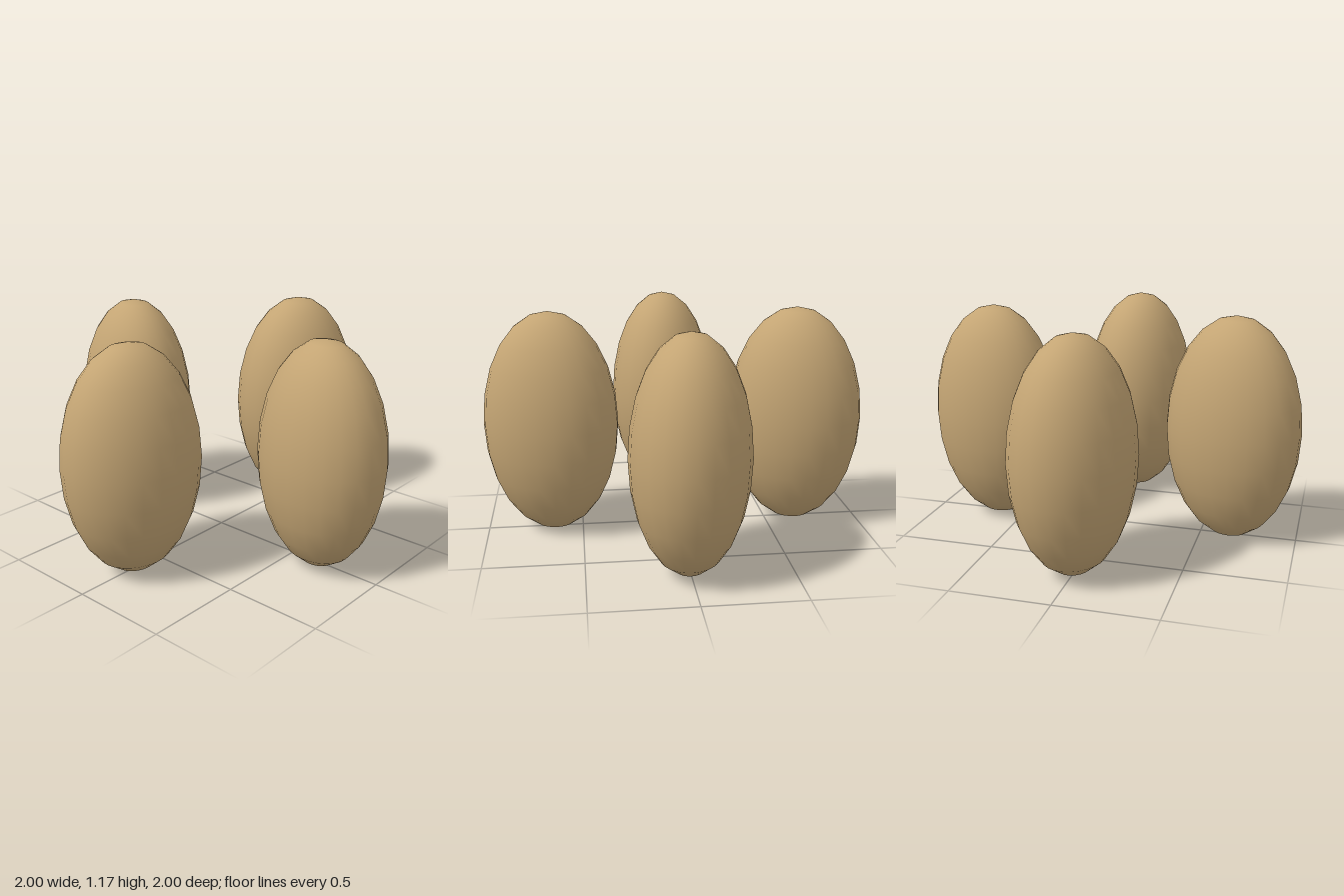
import * as THREE from 'three';

export function createModel() {
  const model = new THREE.Group();
  const tan = new THREE.MeshStandardMaterial({ color: 0xc4a574 });
  tan.name = 'tan';

  // Upright egg shape: a sphere stretched along its three axes
  const egg = new THREE.SphereGeometry(1, 24, 12).scale(0.354, 0.584, 0.29);

  // Four eggs in a ring, each twisted a little from its radial direction
  const twist = -Math.PI / 12;
  ['leftEgg', 'backEgg', 'rightEgg', 'frontEgg'].forEach((name, i) => {
    const angle = (i * Math.PI) / 2;
    const mesh = new THREE.Mesh(egg, tan);
    mesh.name = name;
    mesh.position.set(0.65 * Math.cos(angle), 0.585, -0.65 * Math.sin(angle));
    mesh.rotation.y = angle + twist;
    model.add(mesh);
  });

  return model;
}
